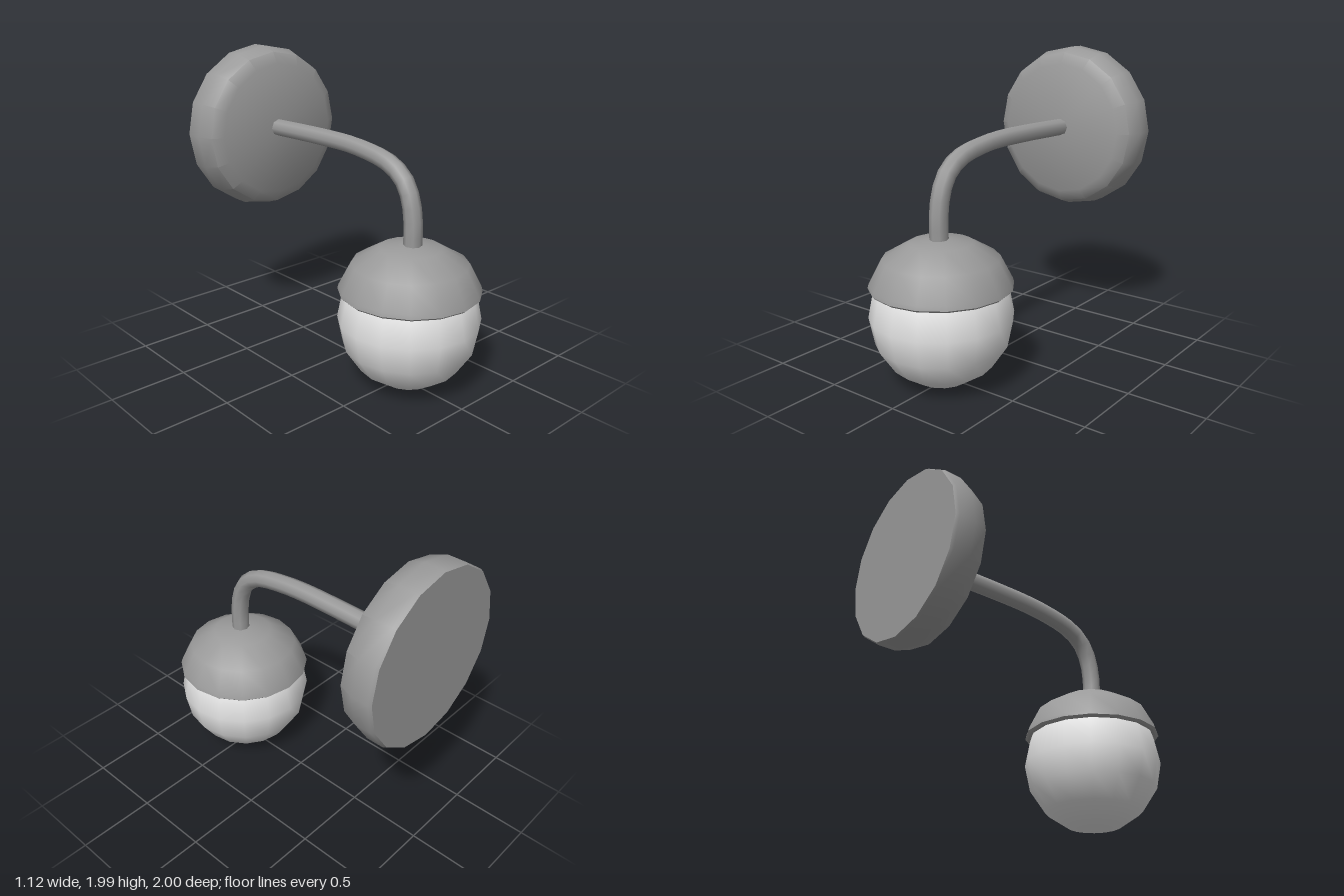
import * as THREE from 'three';
import { toCreasedNormals } from 'three/addons/utils/BufferGeometryUtils.js';

const metal = new THREE.MeshStandardMaterial({ color: 0x9a9a9a });
metal.name = 'grey metal';
const glass = new THREE.MeshStandardMaterial({ color: 0xe2e2e2 });
glass.name = 'frosted glass';

const SIDES = 16;

// Turned part: profile of [radius, height] pairs, listed from bottom to top
function turned(name, profile, crease) {
  const points = profile.map(([r, h]) => new THREE.Vector2(r, h));
  const geometry = toCreasedNormals(new THREE.LatheGeometry(points, SIDES), crease);
  const mesh = new THREE.Mesh(geometry, metal);
  mesh.name = name;
  return mesh;
}

export function createModel() {
  const lamp = new THREE.Group();
  lamp.name = 'wallLamp';

  // Round wall plate with a bevelled front, turned to face +z
  const plate = turned('wallPlate', [
    [0, 0], [0.55, 0], [0.56, 0.02], [0.56, 0.13],
    [0.525, 0.23], [0.45, 0.27], [0, 0.27],
  ], 0.75);
  plate.rotation.x = Math.PI / 2;
  plate.position.set(0, 1.43, -1);
  lamp.add(plate);

  // Bent arm from the plate down into the cap
  const path = new THREE.CatmullRomCurve3([
    [1.44, -0.75], [1.45, -0.3], [1.448, 0], [1.43, 0.185], [1.395, 0.35],
    [1.325, 0.47], [1.215, 0.537], [1.07, 0.565], [0.9, 0.565],
  ].map(([y, z]) => new THREE.Vector3(0, y, z)));
  const arm = new THREE.Mesh(new THREE.TubeGeometry(path, 20, 0.058, 8), metal);
  arm.name = 'arm';
  lamp.add(arm);

  // Glass globe
  const globe = new THREE.Mesh(new THREE.SphereGeometry(0.446, SIDES, 8), glass);
  globe.name = 'globe';
  globe.position.set(0, 0.446, 0.55);
  lamp.add(globe);

  // Domed cap with a thin rolled lip closing onto the globe
  const cap = turned('cap', [
    [0.39, 0.63], [0.43, 0.622], [0.444, 0.635], [0.437, 0.66],
    [0.36, 0.81], [0.195, 0.907], [0, 0.935],
  ], 0.9);
  cap.position.z = 0.55;
  lamp.add(cap);

  return lamp;
}
